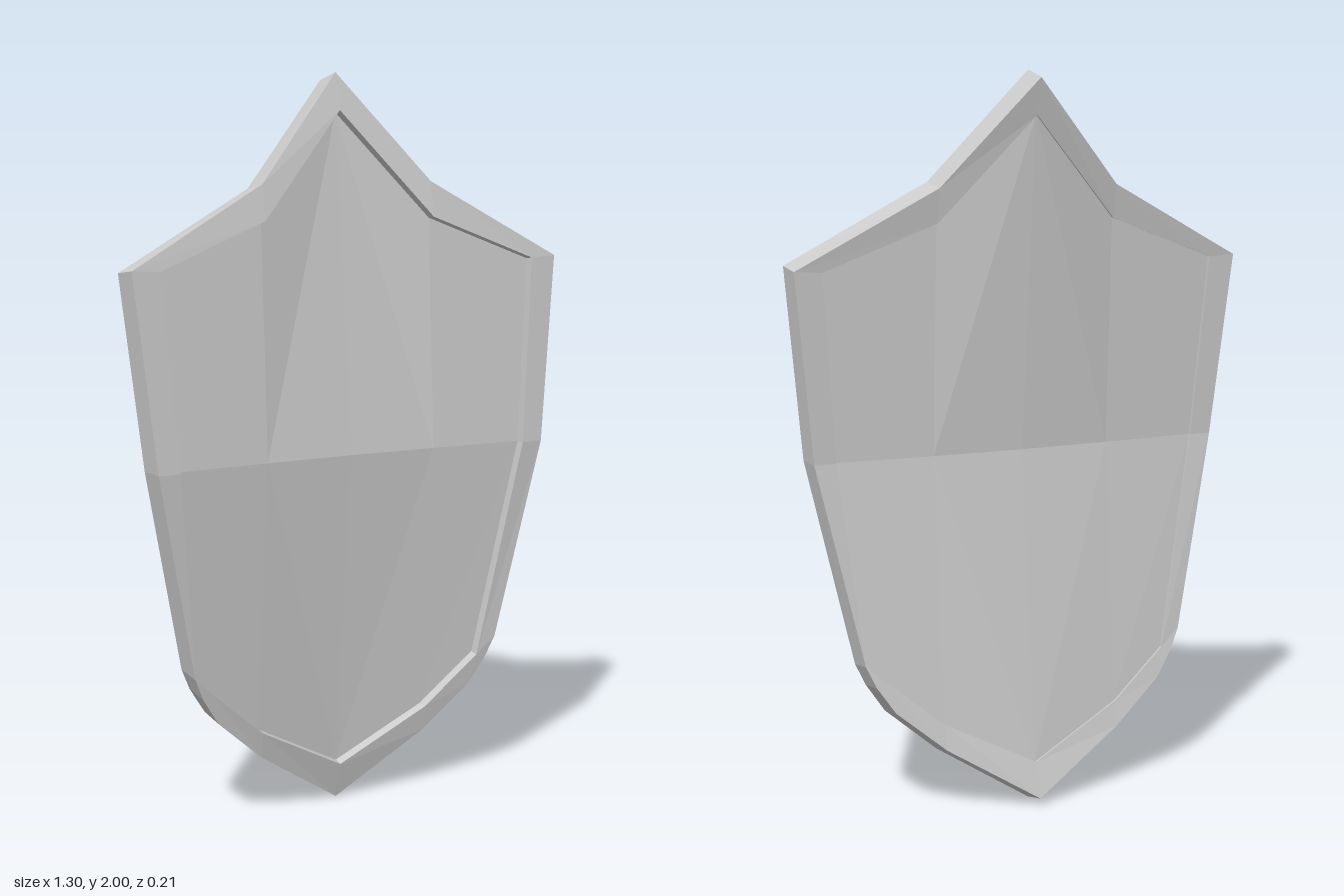
import * as THREE from 'three';

// Right half of the outline, from top tip to bottom tip (outer and inner edge of the rim)
const OUTER = [[0, 2], [0.26, 1.71], [0.652, 1.5], [0.597, 0.98], [0.477, 0.42], [0.45, 0.36], [0.4, 0.285], [0.26, 0.165], [0, 0]];
const INNER = [[0, 1.9], [0.26, 1.615], [0.575, 1.495], [0.535, 0.98], [0.42, 0.37], [0.42, 0.37], [0.42, 0.37], [0.26, 0.235], [0, 0.1]];

// Vertical bow of the front: y, z
const BOW = [[0, -0.025], [0.165, 0.018], [0.285, 0.04], [0.42, 0.06], [0.98, 0.105], [1.5, 0.08], [1.71, 0.045], [2, -0.025]];
const RIM_DEPTH = 0.083;

function bow(y) {
  let i = 1;
  while (i < BOW.length - 1 && BOW[i][0] < y) i++;
  const [y0, z0] = BOW[i - 1], [y1, z1] = BOW[i];
  return z0 + (z1 - z0) * (y - y0) / (y1 - y0);
}

// Point of the bowed sheet, sunk by depth along its normal
function onBow([x, y], depth) {
  const ny = 0.235 * (y - 1), nz = Math.sqrt(1 - ny * ny);
  return [x, y - ny * depth, bow(y) - nz * depth];
}

const mirrorLoop = half => [...half, ...half.slice(1, -1).reverse().map(([x, y]) => [-x, y])];

// Quads (counterclockwise, split along a-c) to a flat shaded mesh
function facetMesh(name, quads) {
  const pos = [];
  const same = (p, q) => p.every((v, i) => Math.abs(v - q[i]) < 1e-6);
  for (const [a, b, c, d] of quads) {
    for (const t of [[a, b, c], [a, c, d]]) {
      if (same(t[0], t[1]) || same(t[1], t[2]) || same(t[0], t[2])) continue;
      pos.push(...t.flat());
    }
  }
  const geo = new THREE.BufferGeometry();
  geo.setAttribute('position', new THREE.Float32BufferAttribute(pos, 3));
  geo.computeVertexNormals();
  const mesh = new THREE.Mesh(geo, new THREE.MeshStandardMaterial({ color: 0xcccccc, flatShading: true }));
  mesh.name = name;
  return mesh;
}

// Rim: four-sided section swept round the outline
function makeRim() {
  const outer = mirrorLoop(OUTER), inner = mirrorLoop(INNER);
  const rings = [
    outer.map(p => onBow(p, 0)), inner.map(p => onBow(p, 0)),
    inner.map(p => onBow(p, RIM_DEPTH)), outer.map(p => onBow(p, RIM_DEPTH)),
  ];
  const quads = [];
  rings.forEach((r, j) => {
    const s = rings[(j + 1) % 4];
    r.forEach((p, i) => {
      const n = (i + 1) % r.length;
      quads.push([p, s[i], s[n], r[n]]);
    });
  });
  return facetMesh('rim', quads);
}

// Panel: columns of top, middle and bottom points, mirrored, front and back
function makePanel() {
  const quads = [];
  for (const [depth, midZ, back] of [[0.026, 0.06, false], [0.074, 0.011, true]]) {
    const columns = [[0, 8], [1, 7], [2, 4]].map(([top, bottom], k) => [
      onBow(INNER[top], depth),
      k < 2 ? [INNER[top][0], 0.98, midZ + 0.006 * k] : onBow(INNER[3], depth),
      onBow(INNER[bottom], depth),
    ]);
    for (const side of [1, -1]) {
      const place = ([x, y, z]) => [side * x, y, z];
      for (let k = 0; k < 2; k++) {
        const [t0, m0, b0] = columns[k].map(place), [t1, m1, b1] = columns[k + 1].map(place);
        for (const [a, b, c, d] of [[t0, m0, m1, t1], [b0, b1, m1, m0]]) {
          quads.push((side < 0) !== back ? [a, d, c, b] : [a, b, c, d]);
        }
      }
    }
  }
  return facetMesh('panel', quads);
}

export function createModel() {
  const shield = new THREE.Group();
  shield.name = 'shield';
  shield.add(makeRim(), makePanel());
  return shield;
}
